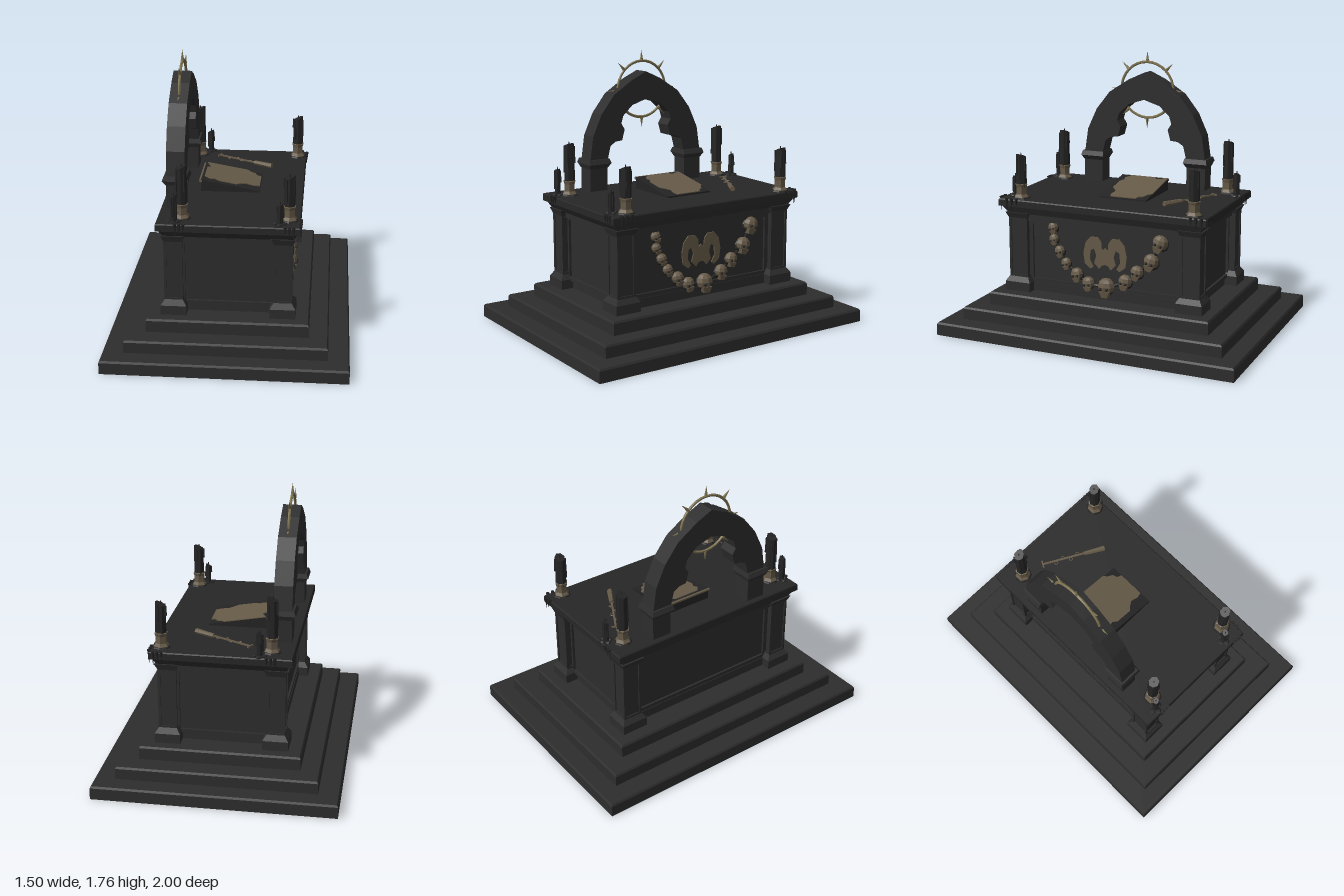
import * as THREE from 'three';

const mat = (name, color) => {
  const m = new THREE.MeshStandardMaterial({ color, flatShading: true });
  m.name = name;
  return m;
};

export function createModel() {
  const root = new THREE.Group();
  root.name = 'altar';
  const stone = mat('darkStone', 0x2d2d2d);
  const slabStone = mat('slabStone', 0x272727);
  const wax = mat('darkWax', 0x242424);
  const bone = mat('bone', 0x665a48);
  const brass = mat('brass', 0x7d7250);

  const add = (name, geo, m, x = 0, y = 0, z = 0, parent = root) => {
    const mesh = new THREE.Mesh(geo, m);
    mesh.name = name;
    mesh.position.set(x, y, z);
    parent.add(mesh);
    return mesh;
  };
  const group = (name, x = 0, y = 0, z = 0, parent = root) => {
    const g = new THREE.Group();
    g.name = name;
    g.position.set(x, y, z);
    parent.add(g);
    return g;
  };
  // Box whose top has a different size from its bottom, standing on y = 0
  const taper = (w0, d0, w1, d1, h) => {
    const g = new THREE.BoxGeometry(w0, h, d0).translate(0, h / 2, 0);
    const p = g.attributes.position;
    for (let i = 0; i < p.count; i++) {
      if (p.getY(i) > h / 2) p.setXYZ(i, p.getX(i) * w1 / w0, h, p.getZ(i) * d1 / d0);
    }
    g.computeVertexNormals();
    return g;
  };
  const box = (w, h, d) => taper(w, d, w, d, h);
  const outline = (pts) => new THREE.Shape(pts.map(([x, y]) => new THREE.Vector2(x, y)));
  const extrude = (shape, depth) => new THREE.ExtrudeGeometry(shape, { depth, bevelEnabled: false });
  // Rectangular frame facing +z
  const frame = (w, h, b, depth) => {
    const s = outline([[-w / 2, 0], [w / 2, 0], [w / 2, h], [-w / 2, h]]);
    s.holes.push(outline([[-w / 2 + b, b], [-w / 2 + b, h - b], [w / 2 - b, h - b], [w / 2 - b, b]]));
    return extrude(s, depth);
  };

  // Three steps, each with a slightly bevelled top edge
  [[0.75, 1, 0, 0.085], [0.62, 0.88, 0.085, 0.08], [0.5, 0.75, 0.165, 0.085]].forEach(([x, z, y, h]) => {
    add('step', box(2 * x, h - 0.012, 2 * z), stone, 0, y, 0);
    add('stepEdge', taper(2 * x, 2 * z, 2 * x - 0.016, 2 * z - 0.016, 0.012), stone, 0, y + h - 0.012, 0);
  });

  // Body with recessed panels
  add('bodyCore', box(0.67, 0.55, 1.19), stone, 0, 0.25, 0);
  for (const s of [-1, 1]) {
    add('endPanelFrame', frame(0.58, 0.43, 0.022, 0.018), stone, 0, 0.3, s > 0 ? 0.593 : -0.611);
    add('sideBottomRail', box(0.02, 0.06, 1.06), stone, s * 0.343, 0.25, 0);
    const f = add('sidePanelFrame', frame(1.08, 0.43, 0.035, 0.016), stone, s * 0.333, 0.3, 0);
    f.rotation.y = s * Math.PI / 2;
    add('endTopRail', box(0.6, 0.08, 0.05), stone, 0, 0.72, s * 0.605);
    add('sideTopRail', box(0.05, 0.08, 1.1), stone, s * 0.35, 0.72, 0);
  }

  // Corner posts with flared feet and framed faces
  for (const sx of [-1, 1]) for (const sz of [-1, 1]) {
    const p = group('cornerPost', sx * 0.335, 0.25, sz * 0.59);
    add('postShaft', box(0.1, 0.52, 0.115), stone, 0, 0, 0, p);
    add('postFoot', box(0.16, 0.06, 0.175), stone, 0, 0, 0, p);
    add('postFootFlare', taper(0.16, 0.175, 0.112, 0.13, 0.035), stone, 0, 0.06, 0, p);
    add('postHead', taper(0.112, 0.13, 0.15, 0.16, 0.04), stone, 0, 0.48, 0, p);
    for (const s of [-1, 1]) {
      add('postFrame', frame(0.116, 0.4, 0.016, 0.008), stone, 0, 0.09, s > 0 ? 0.057 : -0.065, p);
      const f = add('postFrame', frame(0.13, 0.4, 0.016, 0.008), stone, s * 0.05, 0.09, 0, p);
      f.rotation.y = s * Math.PI / 2;
    }
  }

  // Moulding and table slab
  add('cornice', taper(0.79, 1.31, 0.84, 1.38, 0.05), stone, 0, 0.765, 0);
  add('slab', box(0.87, 0.04, 1.41), slabStone, 0, 0.815, 0);
  add('slabEdge', taper(0.87, 1.41, 0.86, 1.4, 0.007), slabStone, 0, 0.855, 0);

  // Pointed arch with a cusp on each side
  const half = [[0.435, 1.05], [0.41, 1.22], [0.345, 1.36], [0.25, 1.48], [0.11, 1.57], [0, 1.62]];
  const inner = [[0, 1.44], [0.11, 1.405], [0.18, 1.34], [0.195, 1.29], [0.17, 1.25], [0.19, 1.18], [0.24, 1.175], [0.28, 1.15], [0.305, 1.05]];
  const flip = (pts) => pts.map(([x, y]) => [-x, y]).reverse();
  const archShape = outline([...half, ...flip(half).slice(1), ...flip(inner), ...inner.slice(1)]);
  add('arch', extrude(archShape, 0.115).rotateY(-Math.PI / 2), stone, -0.285, 0, 0);
  for (const s of [-1, 1]) {
    add('archPillar', box(0.115, 0.17, 0.13), stone, -0.3425, 0.86, s * 0.37);
    add('archCapitalFlare', taper(0.12, 0.135, 0.16, 0.16, 0.03), stone, -0.3425, 1.01, s * 0.37);
    add('archCapital', taper(0.165, 0.165, 0.14, 0.15, 0.03), stone, -0.3425, 1.04, s * 0.37);
  }

  // Spiked ring around the arch point
  const halo = group('spikedRing', -0.3425, 1.5, 0);
  add('ring', new THREE.TorusGeometry(0.186, 0.009, 6, 32).rotateY(Math.PI / 2), brass, 0, 0, 0, halo);
  for (let i = 0; i < 8; i++) {
    const a = i * Math.PI / 4;
    const s = add('ringSpike', new THREE.ConeGeometry(0.012, 0.07, 5), brass, 0, Math.cos(a) * 0.222, Math.sin(a) * 0.222, halo);
    s.rotation.x = a;
  }

  // Candles: slanted top, wick, wax runs and puddle
  const candle = (x, z, r, y0, y1, parent) => {
    const h = y1 - y0;
    const g = new THREE.CylinderGeometry(r, r * 1.08, h, 7).translate(0, h / 2, 0);
    const p = g.attributes.position;
    for (let i = 0; i < p.count; i++) if (p.getY(i) > h / 2) p.setY(i, h - 0.012 + p.getX(i) * 0.45);
    add('candle', g, wax, x, y0, z, parent);
    add('wick', new THREE.CylinderGeometry(0.003, 0.004, 0.022, 5), wax, x, y1 - 0.004, z, parent);
    for (let i = 0; i < 4; i++) {
      const a = i * 1.7 + x * 9, l = h * (0.3 + 0.12 * i);
      add('waxRun', new THREE.CylinderGeometry(0.005, 0.008, l, 5), wax,
        x + Math.cos(a) * r, y1 - 0.02 - l / 2, z + Math.sin(a) * r, parent);
    }
  };
  const cup = [[0, 0], [0.05, 0], [0.05, 0.012], [0.036, 0.03], [0.037, 0.075], [0.043, 0.095], [0.03, 0.1], [0, 0.09]]
    .map(([x, y]) => new THREE.Vector2(x, y));
  const clusters = [
    { x: -0.3, z: -0.59, top: 1.21, small: [-0.235, -0.67, 1.02] },
    { x: 0.375, z: -0.605, top: 1.15 },
    { x: -0.285, z: 0.59, top: 1.2, small: [-0.325, 0.655, 1.04] },
    { x: 0.365, z: 0.575, top: 1.15, small: [0.312, 0.645, 1.0] },
  ];
  for (const c of clusters) {
    const g = group('candleCluster');
    add('candleHolder', new THREE.LatheGeometry(cup, 6), bone, c.x, 0.86, c.z, g);
    candle(c.x, c.z, 0.033, 0.94, c.top, g);
    const sx = Math.sign(c.x), sz = Math.sign(c.z);
    if (c.small) {
      candle(c.small[0], c.small[1], 0.018, 0.86, c.small[2], g);
      for (let i = 0; i < 4; i++) {
        add('waxLump', new THREE.IcosahedronGeometry(0.022, 0).scale(1, 0.5, 1), wax,
          c.small[0] + Math.cos(i * 1.6) * 0.025, 0.865, c.small[1] + Math.sin(i * 1.6) * 0.025, g);
      }
    }
    add('waxPuddle', new THREE.CylinderGeometry(0.052, 0.06, 0.012, 8), wax, c.x, 0.864, c.z, g);
    // Wax hanging over the slab edge
    for (let i = 0; i < 3; i++) {
      const l = 0.05 + 0.02 * i;
      if (sx > 0) add('edgeDrip', new THREE.ConeGeometry(0.012, l, 5).rotateX(Math.PI), wax, 0.436, 0.868 - l / 2, c.z + sz * (i * 0.035), g);
      add('edgeDrip', new THREE.ConeGeometry(0.012, l, 5).rotateX(Math.PI), wax, c.x + sx * (i * 0.025 - 0.02), 0.868 - l / 2, sz * 0.706, g);
    }
  }

  // Sloping book rest with a ragged parchment
  const rest = new THREE.BoxGeometry(0.375, 0.08, 0.33);
  const rp = rest.attributes.position;
  for (let i = 0; i < rp.count; i++) rp.setY(i, rp.getY(i) < 0 ? 0.86 : (rp.getX(i) < 0 ? 0.938 : 0.872));
  rest.computeVertexNormals();
  add('bookRest', rest, wax, -0.032, 0, -0.037);
  add('bookSpine', new THREE.CylinderGeometry(0.01, 0.01, 0.335, 6).rotateX(Math.PI / 2), bone, -0.223, 0.93, -0.037);
  const sheet = [[-0.18, 0.168], [0.09, 0.168], [0.11, 0.145], [0.145, 0.13], [0.155, 0.1], [0.186, 0.09], [0.186, -0.085],
    [0.15, -0.095], [0.1, -0.085], [0.07, -0.105], [0.04, -0.13], [-0.07, -0.13], [-0.1, -0.11], [-0.135, -0.12],
    [-0.175, -0.09], [-0.175, 0.08], [-0.15, 0.1], [-0.165, 0.13]];
  const page = add('parchment', extrude(outline(sheet), 0.005).rotateX(-Math.PI / 2), bone, -0.032, 0.906, -0.037);
  page.rotation.z = -Math.atan2(0.066, 0.375);

  // Ritual knife lying on the slab
  const knife = group('knife', 0.0225, 0.875, -0.4475);
  knife.rotation.y = -0.5;
  add('knifeHandle', new THREE.CylinderGeometry(0.018, 0.014, 0.14, 6).rotateZ(-Math.PI / 2), bone, 0.143, 0, 0, knife);
  add('knifeBlade', new THREE.BoxGeometry(0.28, 0.008, 0.012), bone, -0.065, 0, 0, knife);
  add('knifeTip', new THREE.BoxGeometry(0.01, 0.01, 0.05), bone, -0.208, 0, 0, knife);
  for (let i = 0; i < 4; i++) {
    add('knifeCurl', new THREE.TorusGeometry(0.011, 0.003, 4, 8).rotateX(Math.PI / 2), bone, -0.12 + i * 0.05, 0, i % 2 ? -0.01 : 0.014, knife);
  }

  // Garland of skulls: [z, y, radius]
  const skulls = [[0.355, 0.685, 0.035], [0.35, 0.61, 0.033], [0.31, 0.535, 0.036], [0.265, 0.46, 0.035],
    [0.19, 0.395, 0.042], [0.11, 0.345, 0.043], [-0.015, 0.335, 0.057], [-0.145, 0.385, 0.046],
    [-0.225, 0.455, 0.044], [-0.32, 0.535, 0.051], [-0.38, 0.66, 0.052]];
  const garland = group('skullGarland', 0.355, 0, 0);
  for (const [z, y, r] of skulls) {
    const g = group('skull', 0, y, z, garland);
    g.rotation.x = z * 0.8;
    add('cranium', new THREE.SphereGeometry(r, 8, 6).scale(0.85, 0.95, 1), bone, 0, r * 0.1, 0, g);
    add('jaw', taper(r * 0.8, r * 0.7, r * 1.1, r * 1.2, r * 0.7), bone, r * 0.2, -r * 1.1, 0, g);
    add('skullShadowBand', new THREE.SphereGeometry(r * 1.04, 8, 6).scale(0.7, 0.95, 1), wax, -r * 0.3, -r * 0.12, 0, g);
    for (const s of [-1, 1]) {
      add('eyeSocket', new THREE.SphereGeometry(r * 0.18, 6, 4), wax, r * 0.76, -r * 0.1, s * r * 0.36, g);
    }
  }
  const cord = new THREE.CatmullRomCurve3(skulls.map(([z, y]) => new THREE.Vector3(-0.01, y, z)));
  add('garlandCord', new THREE.TubeGeometry(cord, 40, 0.009, 5), wax, 0, 0, 0, garland);

  // Symmetrical inlay on the side panel
  const wing = [[0, 0.585], [0.02, 0.57], [0.025, 0.62], [0.05, 0.65], [0.1, 0.65], [0.135, 0.61], [0.15, 0.54], [0.14, 0.47],
    [0.1, 0.44], [0.08, 0.455], [0.105, 0.5], [0.1, 0.56], [0.075, 0.575], [0.06, 0.53], [0.075, 0.48], [0.04, 0.445], [0.02, 0.47], [0, 0.475]];
  add('sideInlay', extrude(outline([...wing, ...flip(wing).slice(1, -1)]), 0.008).rotateY(-Math.PI / 2), bone, 0.343, 0, 0);

  return root;
}
